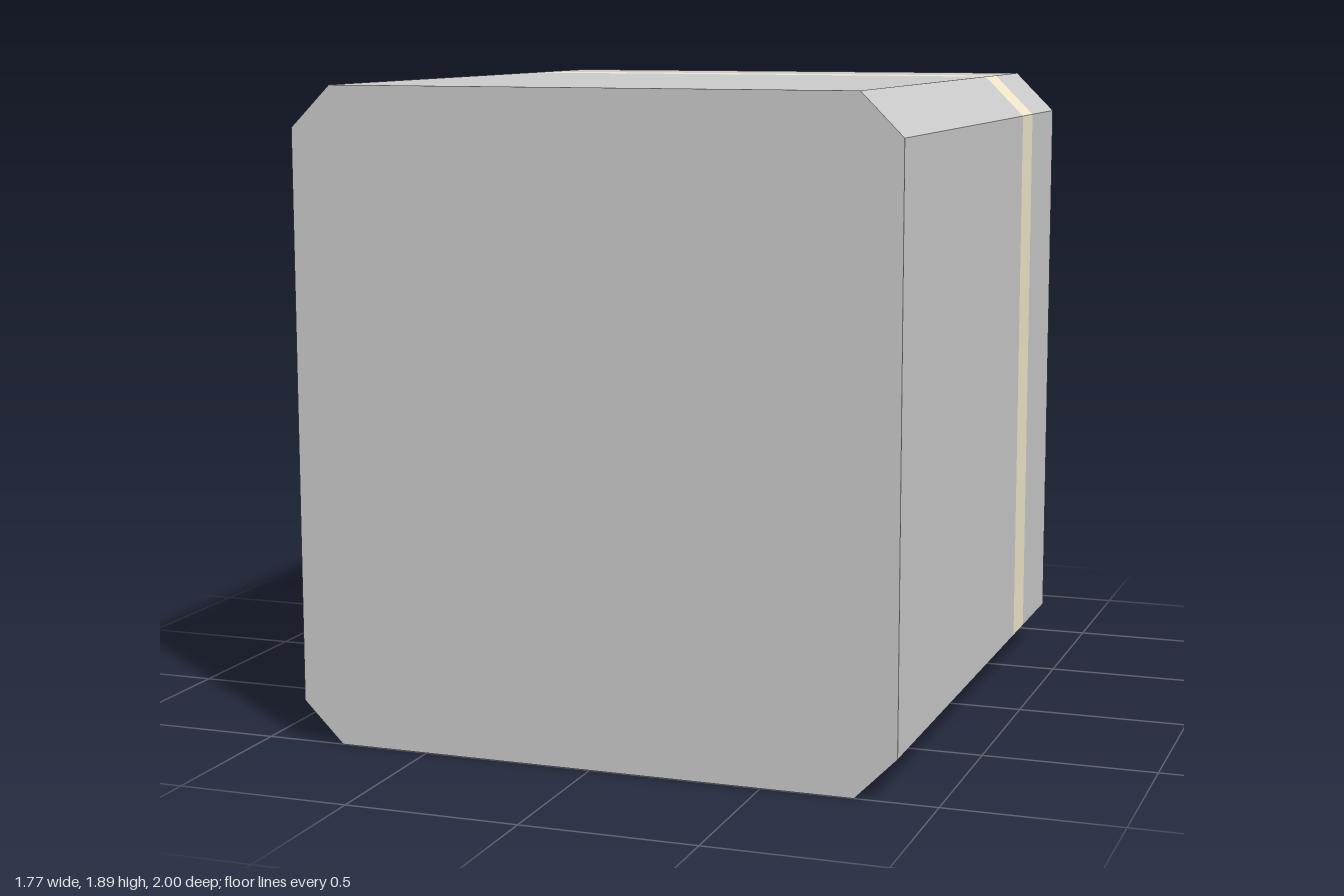
import * as THREE from 'three';

const grey = new THREE.MeshStandardMaterial({ color: 0xcccccc, flatShading: true });
const cream = new THREE.MeshStandardMaterial({ color: 0xf2e9cc, flatShading: true });

// Skins consecutive rings (counter-clockwise seen from +z, running towards -z).
function loft(name, material, rings, { capStart = false, capEnd = false } = {}) {
  const pos = [];
  const tri = (...pts) => pts.forEach((p) => pos.push(p.x, p.y, p.z));
  for (let r = 0; r < rings.length - 1; r++) {
    const a = rings[r], b = rings[r + 1];
    a.forEach((_, i) => {
      const j = (i + 1) % a.length;
      tri(b[i], b[j], a[j]);
      tri(b[i], a[j], a[i]);
    });
  }
  const first = rings[0], last = rings[rings.length - 1];
  for (let i = 1; i < first.length - 1; i++) {
    if (capStart) tri(first[0], first[i], first[i + 1]);
    if (capEnd) tri(last[0], last[i + 1], last[i]);
  }
  const geometry = new THREE.BufferGeometry();
  geometry.setAttribute('position', new THREE.Float32BufferAttribute(pos, 3));
  geometry.computeVertexNormals();
  const mesh = new THREE.Mesh(geometry, material);
  mesh.name = name;
  return mesh;
}

// Chamfered square outline at depth z, offset evenly inwards by inset.
function octagon(z, inset = 0) {
  const w = 0.885 - inset, h = 0.945 - inset;
  const c = 0.12 - inset * (2 - Math.SQRT2);
  return [
    [-w + c, -h], [w - c, -h], [w, -h + c], [w, h - c],
    [w - c, h], [-w + c, h], [-w, h - c], [-w, -h + c],
  ].map(([x, y]) => new THREE.Vector3(x, y + 0.945, z));
}

// Rectangle on the sloped console face, inset by a rim and sunk by a depth.
function slopedRect(rim = 0, sink = 0) {
  const low = new THREE.Vector3(0, 0.6, -1), high = new THREE.Vector3(0, 1.1, -0.79);
  const up = high.clone().sub(low).normalize();
  const inward = new THREE.Vector3(0, -up.z, up.y).multiplyScalar(sink);
  low.addScaledVector(up, rim).add(inward);
  high.addScaledVector(up, -rim).add(inward);
  const x0 = 0.23 + rim, x1 = 0.64 - rim;
  return [[x0, low], [x1, low], [x1, high], [x0, high]]
    .map(([x, p]) => new THREE.Vector3(x, p.y, p.z));
}

export function createModel() {
  const model = new THREE.Group();
  model.name = 'container';
  const stripeFront = -0.425, stripeBack = -0.565, back = -0.88, floor = -0.72, rim = 0.09;

  // Closed front body and the flush stripe around it
  model.add(loft('body', grey, [octagon(1), octagon(stripeFront)], { capStart: true }));
  model.add(loft('stripe', cream, [octagon(stripeFront), octagon(stripeBack)]));

  // Rear section: outer wall, rim, recess wall and recessed panel
  model.add(loft('recessedBack', grey, [
    octagon(stripeBack), octagon(back), octagon(back, rim), octagon(floor, rim),
  ], { capEnd: true }));

  // Wedge console with a sunken screen
  const base = slopedRect().map((p) => new THREE.Vector3(p.x, p.y, floor));
  model.add(loft('console', grey, [
    base, slopedRect(), slopedRect(0.04), slopedRect(0.04, 0.025),
  ]));
  model.add(loft('screen', grey, [slopedRect(0.04, 0.025)], { capEnd: true }));

  return model;
}
